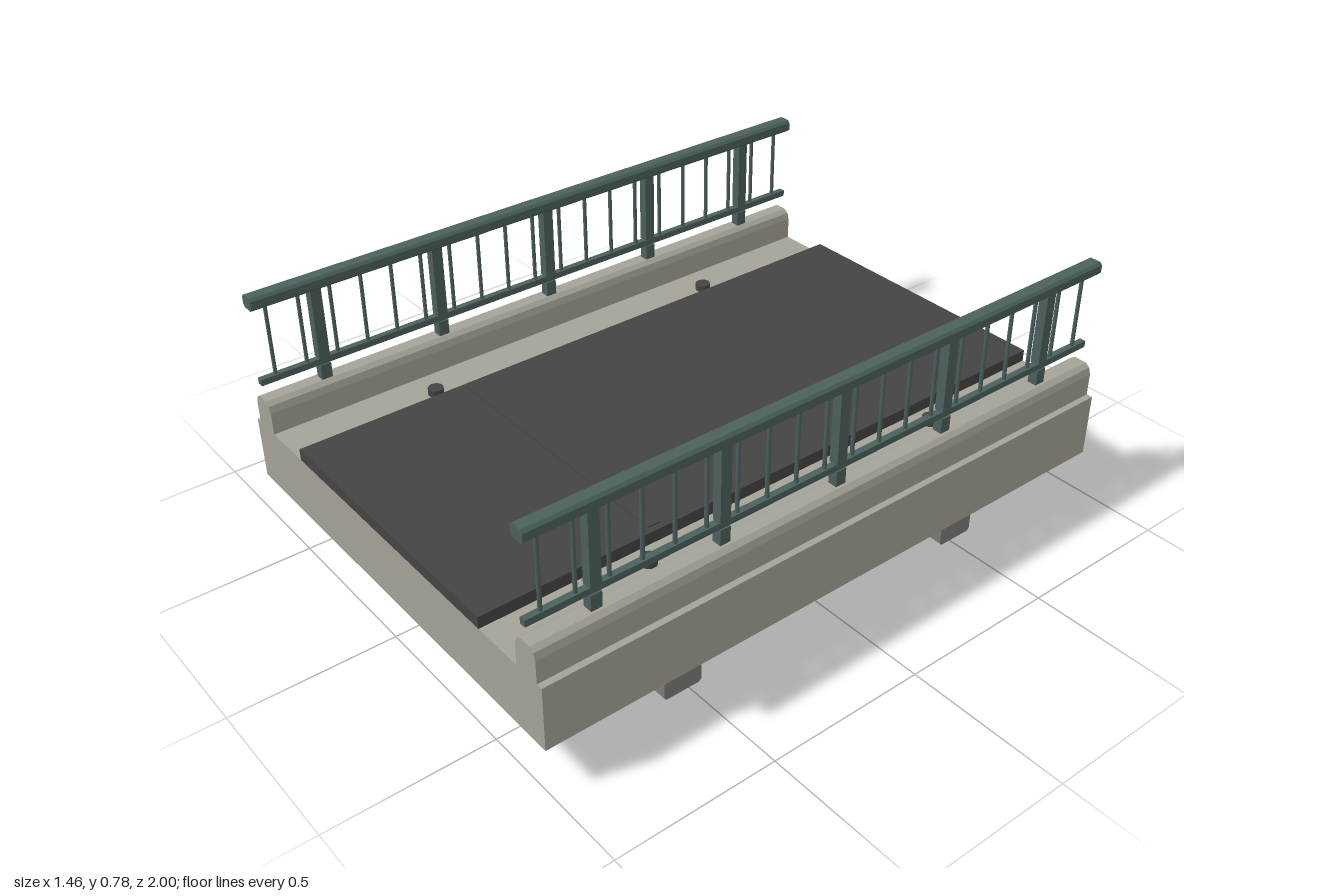
import * as THREE from 'three';

const mat = (name, color) => Object.assign(new THREE.MeshStandardMaterial({ color }), { name });

export function createModel() {
  const concrete = mat('concrete', 0xa5a298);
  const beamGrey = mat('beam grey', 0x7a7c77);
  const asphalt = mat('asphalt', 0x444444);
  const railGreen = mat('rail green', 0x4b605d);
  const root = new THREE.Group();
  root.name = 'bridgeSection';

  const add = (parent, name, geometry, material, x = 0, y = 0, z = 0) => {
    const mesh = new THREE.Mesh(geometry, material);
    mesh.name = name;
    mesh.position.set(x, y, z);
    parent.add(mesh);
    return mesh;
  };
  const box = (w, h, d) => new THREE.BoxGeometry(w, h, d);
  // Cross-section in x and y, extruded along z and centred
  const extrude = (points, length) => {
    const shape = new THREE.Shape(points.map(([x, y]) => new THREE.Vector2(x, y)));
    return new THREE.ExtrudeGeometry(shape, { depth: length, bevelEnabled: false }).translate(0, 0, -length / 2);
  };
  // Rectangle with cut corners; the bottom and top cuts may differ
  const chamfered = (w, h, bottom, top) => [
    [-w / 2 + bottom, -h / 2], [w / 2 - bottom, -h / 2], [w / 2, -h / 2 + bottom], [w / 2, h / 2 - top],
    [w / 2 - top, h / 2], [-w / 2 + top, h / 2], [-w / 2, h / 2 - top], [-w / 2, -h / 2 + bottom],
  ];

  // Concrete deck with a raised kerb along each edge
  const half = [[0.73, 0.14], [0.73, 0.34], [0.71, 0.34], [0.71, 0.41], [0.703, 0.431], [0.688, 0.442],
    [0.647, 0.442], [0.632, 0.431], [0.625, 0.41], [0.625, 0.34]];
  const mirrored = half.map(([x, y]) => [-x, y]).reverse();
  add(root, 'deck', extrude([...half, ...mirrored], 2), concrete);

  // Road surface and its joint strip
  add(root, 'road', box(0.92, 0.037, 2), asphalt, 0, 0.3585, 0);
  add(root, 'roadJoint', box(0.88, 0.005, 0.04), asphalt, 0, 0.3785, 0.44);

  // Cross beams under the deck, and drains beside the road
  const beam = extrude(chamfered(0.125, 0.14, 0.008, 0), 1.32).rotateY(Math.PI / 2);
  const drain = new THREE.CylinderGeometry(0.024, 0.024, 0.022, 16);
  for (const z of [-0.52, 0.52]) {
    add(root, 'crossBeam', beam, beamGrey, 0, 0.07, z);
    for (const x of [-0.52, 0.52]) add(root, 'drain', drain, asphalt, x, 0.351, z);
  }

  // Railings
  const topRail = extrude(chamfered(0.05, 0.04, 0.008, 0.008), 2);
  const lowRail = box(0.02, 0.02, 2);
  const foot = box(0.03, 0.05, 0.034);
  const post = box(0.03, 0.228, 0.034);
  const baluster = new THREE.CylinderGeometry(0.006, 0.006, 0.235, 8);
  for (const side of [-1, 1]) {
    const railing = new THREE.Group();
    railing.name = side > 0 ? 'leftRailing' : 'rightRailing';
    railing.position.x = side * 0.665;
    root.add(railing);
    add(railing, 'topRail', topRail, railGreen, 0, 0.757, 0);
    add(railing, 'lowerRail', lowRail, railGreen, 0, 0.5, 0);
    for (let i = -2; i <= 2; i++) {
      add(railing, 'postFoot', foot, railGreen, 0, 0.465, i * 0.4);
      add(railing, 'post', post, railGreen, 0, 0.624, i * 0.4);
    }
    for (let i = 0; i < 20; i++) add(railing, 'baluster', baluster, railGreen, 0, 0.622, -0.95 + i * 0.1);
  }
  return root;
}
